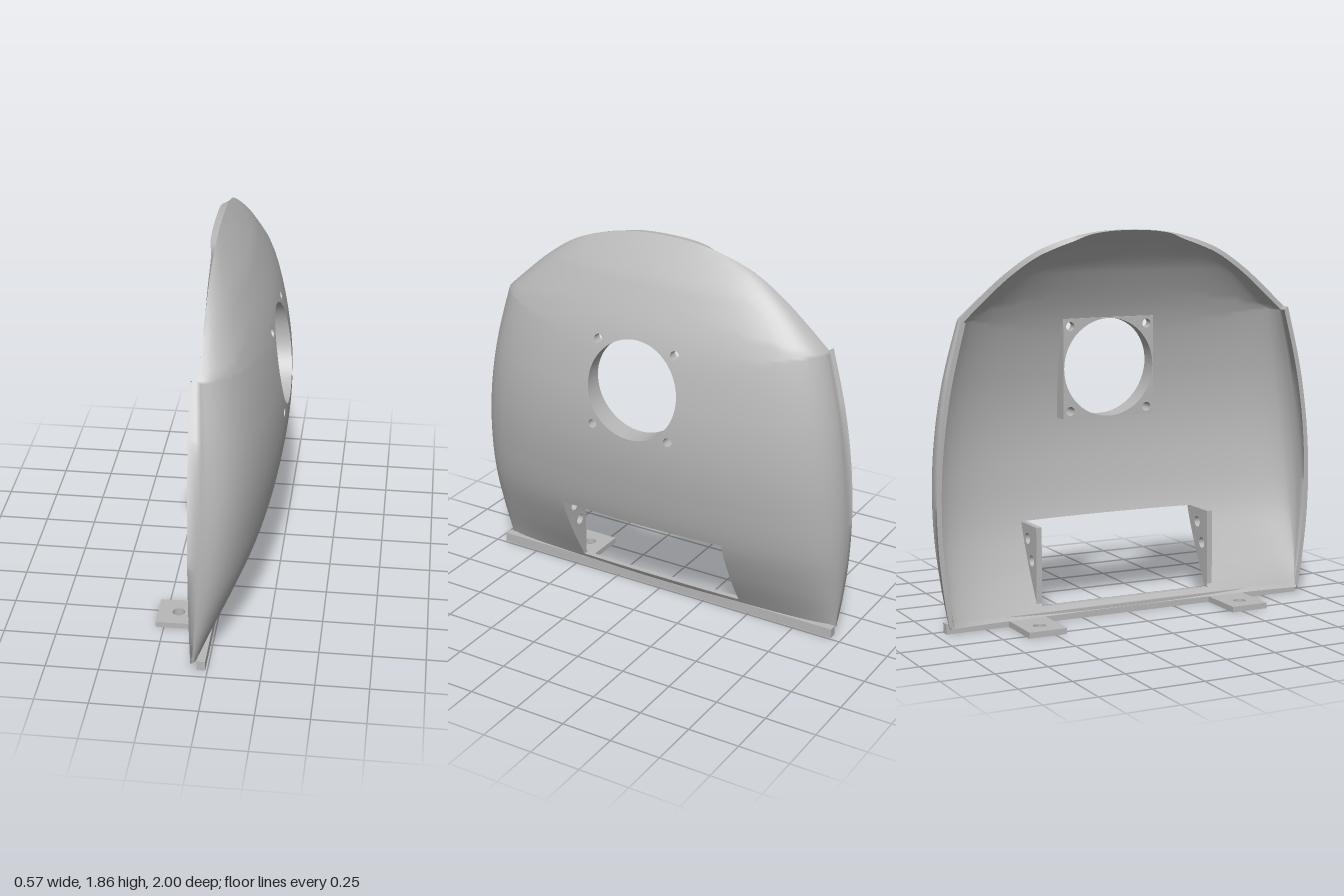
import * as THREE from 'three';
import { mergeGeometries } from 'three/addons/utils/BufferGeometryUtils.js';

const BOTTOM = 0.03, SHOULDER = 1.46, TOP = 1.855, RIM_X = -0.08, THICK = 0.025, POWER = 0.34;
const HOLE_Y = 1.178, HOLE_R = 0.24, PAD = 0.244, PAD_X = 0.17, BOLT_R = 0.022;
const BOLT = (PAD + HOLE_R * Math.SQRT1_2) / 2;
const WIN = { z: 0.45, y0: 0.07, y1: 0.455 };

// Smooth interpolation through [y, value] pairs
function curve(pts) {
  const slope = pts.map((p, i) => {
    const a = pts[Math.max(i - 1, 0)], b = pts[Math.min(i + 1, pts.length - 1)];
    return (b[1] - a[1]) / (b[0] - a[0]);
  });
  return (y) => {
    let i = 0;
    while (i < pts.length - 2 && y > pts[i + 1][0]) i++;
    const [y0, a] = pts[i], [y1, b] = pts[i + 1], d = y1 - y0;
    const t = THREE.MathUtils.clamp((y - y0) / d, 0, 1), t2 = t * t, t3 = t2 * t;
    return (2 * t3 - 3 * t2 + 1) * a + (t3 - 2 * t2 + t) * d * slope[i]
      + (3 * t2 - 2 * t3) * b + (t3 - t2) * d * slope[i + 1];
  };
}

// Centre profile and half width of the bulged panel
const profile = curve([[0.03, -0.02], [0.05, -0.005], [0.25, 0.115], [0.455, 0.208], [0.7, 0.262], [0.92, 0.282],
  [1.15, 0.268], [1.42, 0.21], [1.65, 0.11], [1.75, 0.045], [1.855, -0.04]]);
const lowerWidth = curve([[0.03, 0.945], [0.2, 0.972], [0.4, 0.993], [0.6, 1], [0.8, 0.992], [1, 0.97], [1.2, 0.934], [1.46, 0.868]]);
const upperWidth = curve([[1.46, 0.868], [1.56, 0.758], [1.66, 0.64], [1.76, 0.49], [1.83, 0.32], [1.855, 0.25]]);
const clampY = (y) => THREE.MathUtils.clamp(y, BOTTOM, TOP);
const width = (y) => (y <= SHOULDER ? lowerWidth(y) : upperWidth(y));
// Above the shoulders the panel is trimmed a little in front of the side rims
const trim = (y) => width(y) * Math.sqrt(Math.max(0, 1 - (0.04 / (profile(y) + 0.08)) ** (1 / POWER)));

function depth(z, y) {
  const s = Math.max(0, 1 - Math.abs(z) / width(y));
  const k = Math.min(0.15 * s, TOP - y, y - BOTTOM);
  const w = (width(y - k) + width(y + k)) / 2;
  return RIM_X + (profile(y) - RIM_X) * Math.max(0, 1 - (z / w) ** 2) ** POWER;
}
function normalAt(z, y) {
  const h = 0.003, a = clampY(y - h), b = clampY(y + h);
  return new THREE.Vector3(1, -(depth(z, b) - depth(z, a)) / (b - a), -(depth(z + h, y) - depth(z - h, y)) / (2 * h)).normalize();
}
const outer = ([z, y]) => new THREE.Vector3(depth(z, y), y, z);
// The inside is offset straight back on the face and along the normal towards the sides
function inner([z, y]) {
  const n = normalAt(z, y);
  n.lerp(new THREE.Vector3(1 / Math.max(n.x, 0.5), 0, 0), THREE.MathUtils.smoothstep(n.x, 0.6, 0.82));
  const p = outer([z, y]).addScaledVector(n, -THICK);
  p.x = Math.max(p.x, RIM_X);
  return p;
}

function geometry(pos, idx, nor) {
  const g = new THREE.BufferGeometry();
  g.setAttribute('position', new THREE.Float32BufferAttribute(pos, 3));
  g.setIndex(idx);
  if (nor) g.setAttribute('normal', new THREE.Float32BufferAttribute(nor, 3));
  else g.computeVertexNormals();
  return g;
}

// Patch of the curved surface spanned between two curves a(v) and b(v) in the z-y plane
function patch(a, b, nu, nv, isInner = false, ease = (u) => u) {
  const pos = [], nor = [], idx = [], sign = isInner ? -1 : 1;
  for (let j = 0; j <= nv; j++) for (let i = 0; i <= nu; i++) {
    const p = a(j / nv), q = b(j / nv), t = ease(i / nu);
    const c = [p[0] + (q[0] - p[0]) * t, p[1] + (q[1] - p[1]) * t];
    pos.push(...(isInner ? inner(c) : outer(c)).toArray());
    nor.push(...normalAt(...c).multiplyScalar(sign).toArray());
  }
  // Keep every triangle facing the same way as its normals
  const tri = (i, j, k) => {
    const [A, B, C] = [i, j, k].map((n) => new THREE.Vector3().fromArray(pos, n * 3));
    const N = new THREE.Vector3().fromArray(nor, i * 3);
    const facing = B.sub(A).cross(C.sub(A)).dot(N) >= 0;
    idx.push(i, ...(facing ? [j, k] : [k, j]));
  };
  for (let j = 0; j < nv; j++) for (let i = 0; i < nu; i++) {
    const n = j * (nu + 1) + i, m = n + nu + 1;
    tri(n, n + 1, m + 1);
    tri(n, m + 1, m);
  }
  return geometry(pos, idx, nor);
}

// Ruled strip between two space curves
function strip(a, b, n) {
  const pos = [], idx = [];
  for (let i = 0; i <= n; i++) pos.push(...a(i / n).toArray(), ...b(i / n).toArray());
  for (let i = 0; i < n; i++) idx.push(2 * i, 2 * i + 1, 2 * i + 3, 2 * i, 2 * i + 3, 2 * i + 2);
  return geometry(pos, idx);
}
const edge = (c, n) => strip((u) => outer(c(u)), (u) => inner(c(u)), n);
const line = (z0, y0, z1, y1) => (u) => [z0 + (z1 - z0) * u, y0 + (y1 - y0) * u];
const circle = (z, y, r) => (u) => [z + r * Math.cos(u * 2 * Math.PI), y + r * Math.sin(u * 2 * Math.PI)];
const square = (z, y, h) => (u) => {
  const c = Math.cos(u * 2 * Math.PI), s = Math.sin(u * 2 * Math.PI), r = h / Math.max(Math.abs(c), Math.abs(s));
  return [z + r * c, y + r * s];
};

export function createModel() {
  const model = new THREE.Group();
  const grey = new THREE.MeshStandardMaterial({ color: 0xb8b8b8, side: THREE.DoubleSide });
  grey.name = 'light grey';
  const add = (name, geo) => {
    const mesh = new THREE.Mesh(geo, grey);
    mesh.name = name;
    model.add(mesh);
    return mesh;
  };
  const fullEase = (u) => (Math.sin((u - 0.5) * Math.PI) + 1) / 2;
  const sideEase = (u) => Math.sin(u * Math.PI / 2);
  const toTop = (v) => SHOULDER + (TOP - SHOULDER) * (1 - (1 - v) ** 2);

  // Curved panel in bands around the window and the round opening
  for (const isInner of [false, true]) {
    const skin = [];
    const band = (y0, y1, n) => {
      const y = (v) => y0 + (y1 - y0) * v;
      skin.push(patch((v) => [-width(y(v)), y(v)], (v) => [width(y(v)), y(v)], 80, n, isInner, fullEase));
    };
    const sides = (h, y0, y1, n) => {
      const y = (v) => y0 + (y1 - y0) * v;
      for (const s of [-1, 1]) skin.push(patch((v) => [s * h, y(v)], (v) => [s * width(y(v)), y(v)], 36, n, isInner, sideEase));
    };
    band(BOTTOM, WIN.y0, 3);
    sides(WIN.z, WIN.y0, WIN.y1, 14);
    band(WIN.y1, HOLE_Y - PAD, 16);
    sides(PAD, HOLE_Y - PAD, HOLE_Y + PAD, 18);
    band(HOLE_Y + PAD, SHOULDER, 3);
    skin.push(patch((v) => [-trim(toTop(v)), toTop(v)], (v) => [trim(toTop(v)), toTop(v)], 80, 28, isInner, fullEase));
    if (!isInner) {
      // Surface between the round opening, the bolt holes and the pad outline
      const q = BOLT * 2 - PAD;
      for (let k = 0; k < 4; k++) {
        const at = (z, y) => {
          const [a, b] = [[z, y], [y, -z], [-z, -y], [-y, z]][k];
          return [a, HOLE_Y + b];
        };
        const arc = (v) => at(HOLE_R * Math.cos(Math.PI * (0.75 - v / 2)), HOLE_R * Math.sin(Math.PI * (0.75 - v / 2)));
        skin.push(patch(arc, (v) => at(-q + 2 * q * v, PAD), 3, 24));
        const [z, y] = at(BOLT, BOLT);
        skin.push(patch(circle(z, y, BOLT_R), square(z, y, PAD - BOLT), 2, 24));
      }
    }
    add(isInner ? 'panelInside' : 'panelOutside', mergeGeometries(skin));
  }

  // Thickness of the panel at its borders and window
  const rims = [
    edge(line(-WIN.z, WIN.y0, WIN.z, WIN.y0), 16), edge(line(-WIN.z, WIN.y1, WIN.z, WIN.y1), 16),
    edge((u) => line(-width(BOTTOM), BOTTOM, width(BOTTOM), BOTTOM)(fullEase(u)), 40),
  ];
  for (const s of [-1, 1]) {
    const sideY = (u) => BOTTOM + (SHOULDER - BOTTOM) * u;
    rims.push(edge((u) => [s * width(sideY(u)), sideY(u)], 40));
    rims.push(edge((u) => [s * trim(toTop(u)), toTop(u)], 40));
    rims.push(edge(line(s * trim(SHOULDER) * 0.97, SHOULDER, s * width(SHOULDER), SHOULDER), 8));
    rims.push(edge(line(s * WIN.z, WIN.y0, s * WIN.z, WIN.y1), 14));
  }
  add('panelEdges', mergeGeometries(rims));

  // Flat mounting pad behind the round opening
  const padShape = new THREE.Shape([[-PAD, -PAD], [PAD, -PAD], [PAD, PAD], [-PAD, PAD]].map((p) => new THREE.Vector2(...p)));
  padShape.holes.push(new THREE.Path().absarc(0, 0, HOLE_R, 0, Math.PI * 2));
  const toBack = (c) => (u) => new THREE.Vector3(PAD_X, c(u)[1], c(u)[0]);
  const bores = [circle(0, HOLE_Y, HOLE_R)];
  for (const a of [-1, 1]) for (const b of [-1, 1]) {
    padShape.holes.push(new THREE.Path().absarc(a * BOLT, b * BOLT, BOLT_R, 0, Math.PI * 2));
    bores.push(circle(a * BOLT, HOLE_Y + b * BOLT, BOLT_R));
  }
  const padFace = add('padFace', new THREE.ShapeGeometry(padShape, 48));
  padFace.rotation.y = -Math.PI / 2;
  padFace.position.set(PAD_X, HOLE_Y, 0);
  add('openingWalls', mergeGeometries(bores.map((c) => strip((u) => outer(c(u)), toBack(c), 96))));
  const lo = HOLE_Y - PAD, hi = HOLE_Y + PAD;
  const padSides = [line(-PAD, lo, PAD, lo), line(PAD, lo, PAD, hi), line(PAD, hi, -PAD, hi), line(-PAD, hi, -PAD, lo)];
  add('padSides', mergeGeometries(padSides.map((c) => strip((u) => inner(c(u)), toBack(c), 12))));

  // Gussets beside the window, each with two holes
  const gusset = new THREE.Shape();
  gusset.moveTo(-0.02, WIN.y0);
  for (let i = 0; i <= 10; i++) {
    const y = WIN.y0 + (WIN.y1 - WIN.y0) * i / 10;
    gusset.lineTo(depth(0.47, y) - 0.006, y);
  }
  gusset.lineTo(-0.02, WIN.y1);
  for (const [x, y] of [[0.082, 0.385], [0.035, 0.285]]) gusset.holes.push(new THREE.Path().absarc(x, y, 0.027, 0, Math.PI * 2));
  // Foot tabs with a bolt hole
  const tab = new THREE.Shape([[-0.29, -0.095], [-0.04, -0.095], [-0.04, 0.095], [-0.29, 0.095]].map((p) => new THREE.Vector2(...p)));
  tab.holes.push(new THREE.Path().absarc(-0.19, 0, 0.03, 0, Math.PI * 2));
  const plate = { depth: 0.028, bevelEnabled: false, curveSegments: 20 };
  for (const [side, s] of [['left', 1], ['right', -1]]) {
    add(side + 'Gusset', new THREE.ExtrudeGeometry(gusset, plate)).position.z = s > 0 ? WIN.z : -WIN.z - plate.depth;
    const foot = add(side + 'FootTab', new THREE.ExtrudeGeometry(tab, plate));
    foot.rotation.x = -Math.PI / 2;
    foot.position.z = s * 0.54;
  }

  // Bottom bar
  add('bottomBar', new THREE.BoxGeometry(0.04, 0.048, 1.9)).position.set(-0.03, 0.024, 0);
  return model;
}
